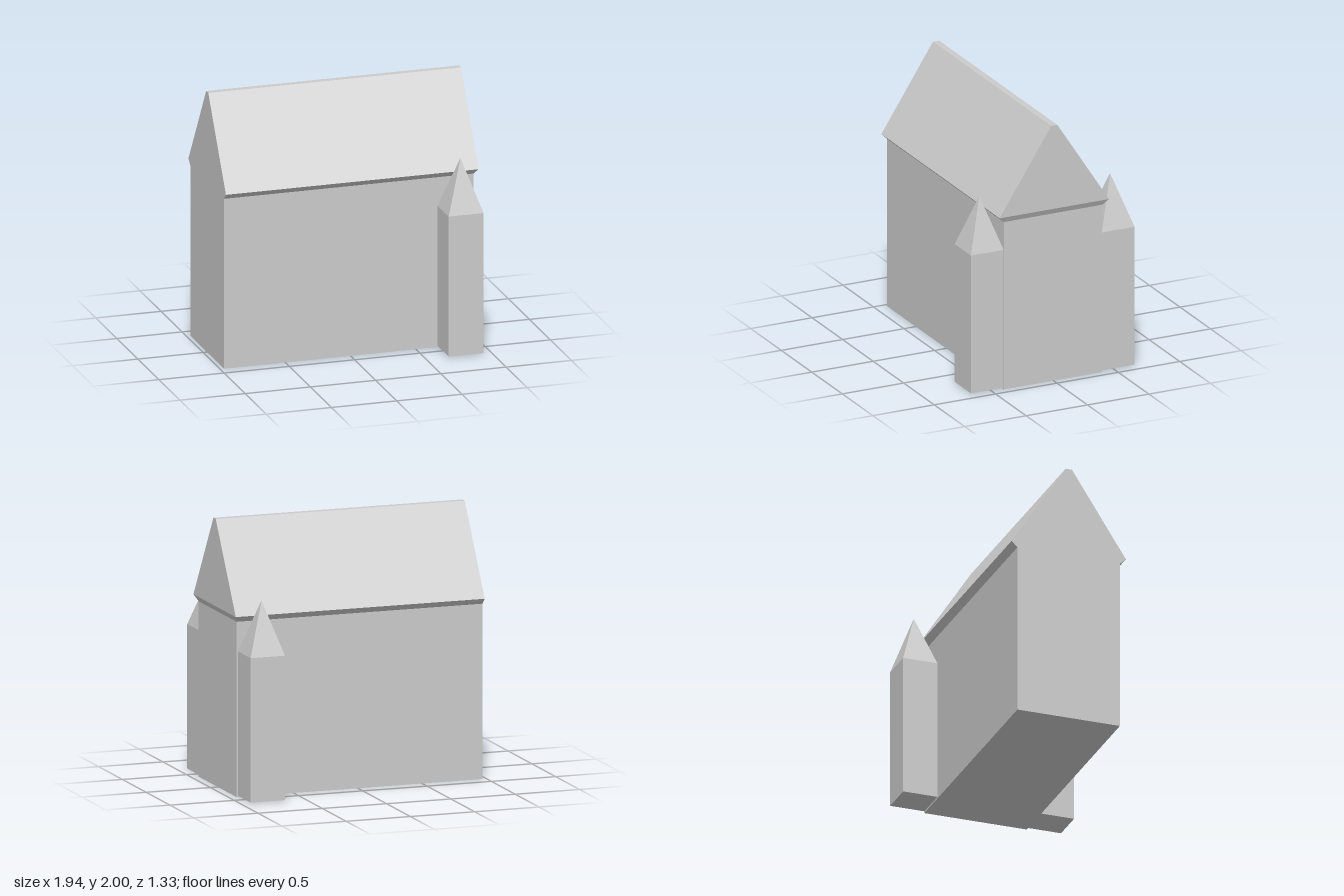
import * as THREE from 'three';

const material = new THREE.MeshStandardMaterial({ color: 0xcccccc, flatShading: true });

function addMesh(parent, name, geometry, x = 0, y = 0, z = 0) {
  const mesh = new THREE.Mesh(geometry, material);
  mesh.name = name;
  mesh.position.set(x, y, z);
  parent.add(mesh);
  return mesh;
}

// Closed solid through rectangular levels, each { y, x: [min, max], z: [min, max] }
function loftRectangles(levels) {
  const positions = [];
  const indices = [];
  for (const { y, x, z } of levels) {
    positions.push(x[0], y, z[1], x[1], y, z[1], x[1], y, z[0], x[0], y, z[0]);
  }
  for (let l = 0; l < levels.length - 1; l++) {
    for (let i = 0; i < 4; i++) {
      const a = l * 4 + i;
      const b = l * 4 + (i + 1) % 4;
      indices.push(a, b, b + 4, a, b + 4, a + 4);
    }
  }
  const t = (levels.length - 1) * 4;
  indices.push(0, 2, 1, 0, 3, 2, t, t + 1, t + 2, t, t + 2, t + 3);
  const indexed = new THREE.BufferGeometry();
  indexed.setAttribute('position', new THREE.Float32BufferAttribute(positions, 3));
  indexed.setIndex(indices);
  const geometry = indexed.toNonIndexed();
  geometry.computeVertexNormals();
  return geometry;
}

// Square turret with a four-sided pointed cap
function createTurret(name, z) {
  const width = 0.267, base = 0.01, eave = 1.085, tip = 1.48;
  const turret = new THREE.Group();
  turret.name = name;
  turret.position.set(0.8, 0, z);
  addMesh(turret, 'turretShaft',
    new THREE.BoxGeometry(width, eave - base, width), 0, (base + eave) / 2, 0);
  const cap = new THREE.ConeGeometry(width / Math.SQRT2, tip - eave, 4, 1, true);
  cap.rotateY(Math.PI / 4);
  addMesh(turret, 'turretCap', cap, 0, (eave + tip) / 2, 0);
  return turret;
}

export function createModel() {
  const model = new THREE.Group();
  model.name = 'house';

  // Main hall
  const wallX = [-0.97, 0.942];
  const wallZ = [-0.396, 0.404];
  addMesh(model, 'hall', loftRectangles([
    { y: 0, x: wallX, z: wallZ },
    { y: 1.305, x: wallX, z: wallZ },
  ]));

  // Gabled roof: flared eave, then steep slopes to a narrow flat ridge
  const roofX = [-0.97, 0.966];
  addMesh(model, 'roof', loftRectangles([
    { y: 1.305, x: wallX, z: wallZ },
    { y: 1.35, x: roofX, z: [-0.441, 0.45] },
    { y: 2, x: roofX, z: [-0.02, 0.03] },
  ]));

  // Turrets on both long walls near the left end
  model.add(createTurret('frontTurret', 0.534), createTurret('backTurret', -0.532));

  return model;
}
